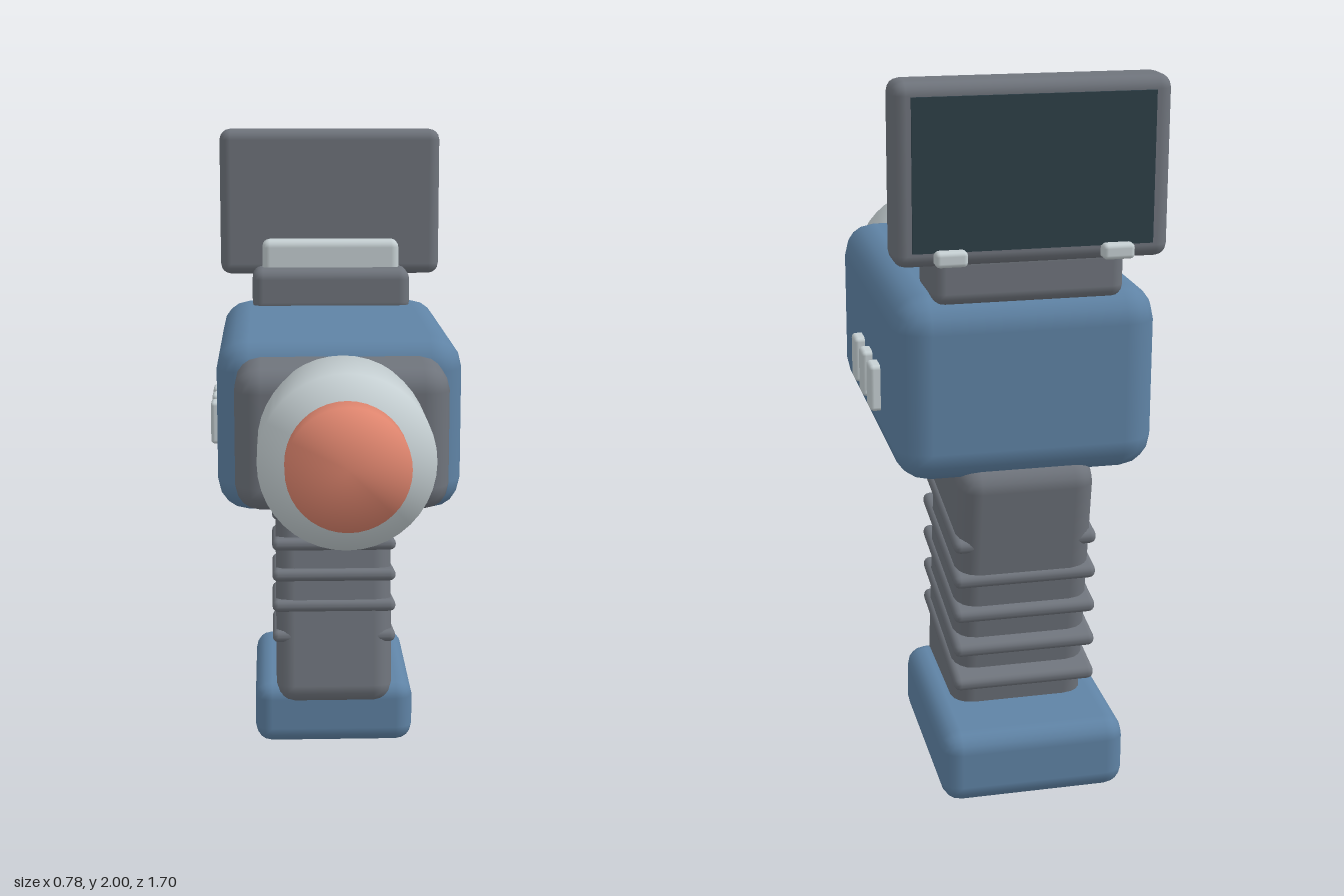
import * as THREE from 'three';
import { mergeVertices } from 'three/addons/utils/BufferGeometryUtils.js';
import { RoundedBoxGeometry } from 'three/addons/geometries/RoundedBoxGeometry.js';

const paint = (name, color) => {
  const m = new THREE.MeshStandardMaterial({ color });
  m.name = name;
  return m;
};

export function createModel() {
  const group = new THREE.Group();
  const blue = paint('blue shell', 0x5f83a5);
  const grey = paint('grey rubber', 0x6f747c);
  const silver = paint('silver metal', 0xc6d0d3);
  const coral = paint('coral lens', 0xe0866f);
  const glass = paint('dark glass', 0x2d3f48);

  const add = (name, geometry, material, x, y, z) => {
    const mesh = new THREE.Mesh(geometry, material);
    mesh.name = name;
    mesh.position.set(x, y, z);
    group.add(mesh);
    return mesh;
  };

  // Rounded block given by its width and its y and z ranges, centred on x
  const block = (name, material, w, y0, y1, z0, z1, r, x = 0) =>
    add(name, new RoundedBoxGeometry(w, y1 - y0, z1 - z0, 2, r), material,
      x, (y0 + y1) / 2, (z0 + z1) / 2);

  // Cylinder along z, with normals blended over the rim
  const barrel = (name, material, radius, z0, z1) => {
    let g = new THREE.CylinderGeometry(radius, radius, z1 - z0, 40);
    g.deleteAttribute('normal');
    g.deleteAttribute('uv');
    g = mergeVertices(g);
    g.computeVertexNormals();
    g.rotateX(Math.PI / 2);
    add(name, g, material, 0, 1.17, (z0 + z1) / 2);
  };

  // Main housing and nose
  block('body', blue, 0.72, 0.91, 1.43, -0.75, 0.285, 0.095);
  block('noseCollar', grey, 0.61, 0.96, 1.38, 0.12, 0.485, 0.075);
  barrel('barrel', silver, 0.24, 0.445, 0.757);
  barrel('lens', coral, 0.167, 0.66, 0.853);

  // Raked grip with ribs
  const tilt = -0.15;
  const grip = add('grip', new RoundedBoxGeometry(0.38, 0.865, 0.44, 2, 0.06), grey, 0, 0.545, -0.476);
  grip.rotation.x = tilt;
  const ribGeometry = new RoundedBoxGeometry(0.404, 0.04, 0.495, 2, 0.019);
  for (let i = 0; i < 5; i++) {
    const rib = add('gripRib', ribGeometry, grey, 0, 0.335 + i * 0.104, -0.475);
    rib.rotation.x = tilt;
  }

  // Foot
  block('base', blue, 0.52, 0, 0.21, -0.85, -0.225, 0.055);

  // Side buttons
  for (const side of [1, -1]) {
    for (const z of [-0.155, -0.295, -0.432]) {
      block('sideButton', silver, 0.06, 1.043, 1.177, z - 0.036, z + 0.036, 0.012, side * 0.36);
    }
  }

  // Display on its mount
  block('displayMount', grey, 0.52, 1.405, 1.55, -0.73, -0.5, 0.035);
  block('hingeBlock', silver, 0.454, 1.5, 1.64, -0.69, -0.562, 0.025);
  block('displayCase', grey, 0.734, 1.52, 2, -0.765, -0.63, 0.035);
  add('screen', new THREE.BoxGeometry(0.64, 0.4, 0.008), glass, 0, 1.763, -0.767);
  for (const side of [1, -1]) {
    block('hingeClip', silver, 0.085, 1.528, 1.57, -0.8, -0.745, 0.012, side * 0.222);
  }

  return group;
}
